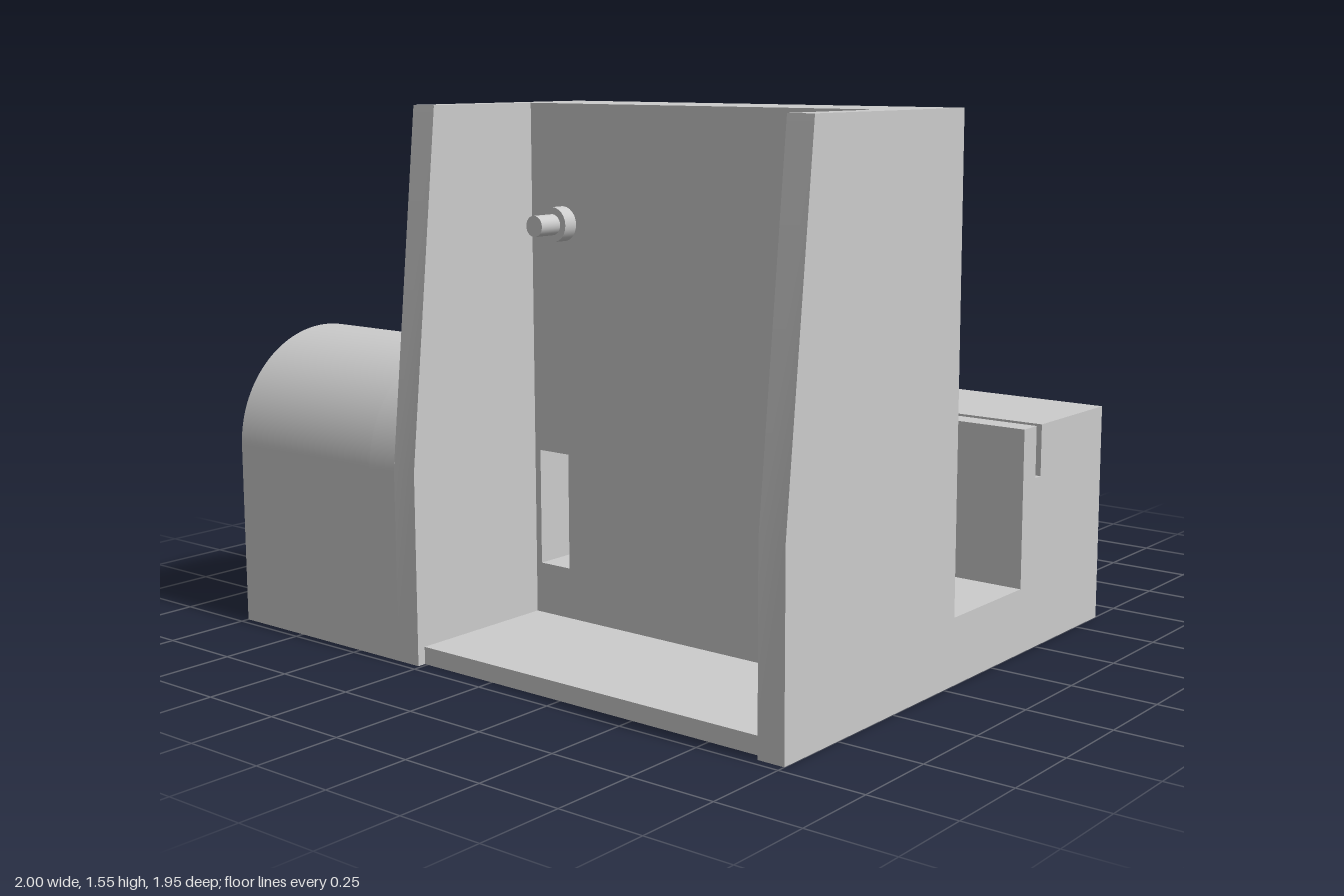
import * as THREE from 'three';
import { toCreasedNormals } from 'three/addons/utils/BufferGeometryUtils.js';

const material = new THREE.MeshStandardMaterial({ color: 0xcccccc });

export function createModel() {
  const model = new THREE.Group();

  const add = (name, geometry) => {
    const mesh = new THREE.Mesh(geometry, material);
    mesh.name = name;
    model.add(mesh);
    return mesh;
  };
  const polygon = (points) => new THREE.Shape(points.map(([x, y]) => new THREE.Vector2(x, y)));
  const rectangle = (x0, y0, x1, y1) => polygon([[x0, y0], [x1, y0], [x1, y1], [x0, y1]]);
  const extrude = (shape, depth) => toCreasedNormals(
    new THREE.ExtrudeGeometry(shape, { depth, bevelEnabled: false, curveSegments: 32 }), 0.5);
  // Shape in (x, y), swept from z0 to z1
  const alongZ = (name, shape, z0, z1) => add(name, extrude(shape, z1 - z0).translate(0, 0, z0));
  // Shape in (-z, y), swept from x0 to x1
  const alongX = (name, shape, x0, x1) =>
    add(name, extrude(shape, x1 - x0).rotateY(Math.PI / 2).translate(x0, 0, 0));

  // Tall front holder: back wall with a window, tapered cheeks and a thin floor
  const wall = rectangle(-0.26, 0, 0.92, 1.55);
  wall.holes.push(rectangle(-0.24, 0.2, -0.13, 0.54));
  alongZ('backWall', wall, 0.2, 0.49);
  const cheek = polygon([[-0.975, 0], [-0.2, 0], [-0.2, 1.55], [-0.87, 1.55], [-0.975, 0.55]]);
  alongX('rightCheek', cheek, -0.34, -0.26);
  alongX('leftCheek', cheek, 0.92, 1);
  alongZ('holderFloor', rectangle(-0.26, 0, 0.92, 0.05), 0.49, 0.95);

  // Stepped pegs on the back wall
  for (const x of [-0.14, 0.84]) {
    for (const [name, radius, z0, z1] of [['pegCollar', 0.05, 0.48, 0.535], ['pegPin', 0.03, 0.53, 0.61]]) {
      add(name, new THREE.CylinderGeometry(radius, radius, z1 - z0, 24).rotateX(Math.PI / 2))
        .position.set(x, 1.21, (z0 + z1) / 2);
    }
  }

  // Channel floor between the holder and the rear block
  alongZ('channelFloor', rectangle(-0.34, 0, 1, 0.19), -0.16, 0.2);

  // Rear block: thin panel with a small round notch, then a narrow slot, then the big notch
  const panel = polygon([[-0.34, 0], [1, 0], [1, 0.65]]);
  panel.lineTo(0.163, 0.65);
  panel.absarc(0.015, 0.65, 0.148, 0, -Math.PI, true);
  panel.lineTo(-0.34, 0.65);
  panel.holes.push(rectangle(-0.17, 0.19, 0.17, 0.25));
  alongZ('rearPanel', panel, -0.23, -0.16);

  const notchedBlock = (top) => {
    const r = 0.29, half = 0.19, centre = 0.65;
    const start = Math.asin((top - centre) / r);
    const end = -Math.acos(half / r);
    const shape = polygon([[-0.34, 0], [1, 0], [1, top]]);
    shape.lineTo(r * Math.cos(start), top);
    shape.absarc(0, centre, r, start, end, true);
    shape.lineTo(half, 0.1);
    shape.lineTo(-half, 0.1);
    shape.absarc(0, centre, r, -Math.PI - end, -Math.PI - start, true);
    shape.lineTo(-0.34, top);
    return shape;
  };
  alongZ('slotBase', notchedBlock(0.5), -0.26, -0.23);
  alongZ('rearBlock', notchedBlock(0.65), -0.63, -0.26);

  // Side housing: two bored barrels joined by ledges and a bridge over an opening
  const housing = (slotted) => {
    const centre = 0.645, axis = 0.535, r = 0.33;
    const shape = polygon([[-0.975, 0], [0.975, 0], [0.975, axis]]);
    shape.absarc(centre, axis, r, 0, Math.PI, false);
    if (slotted) for (const [u, v] of [[0.26, axis], [0.26, 0.5], [0.23, 0.5], [0.23, axis]]) shape.lineTo(u, v);
    for (const [u, v] of [[0.16, axis], [0.16, 0.36], [-0.2, 0.36], [-0.2, axis]]) shape.lineTo(u, v);
    shape.absarc(-centre, axis, r, 0, Math.PI, false);
    for (const u of [-centre, centre]) {
      shape.holes.push(new THREE.Path().absarc(u, axis, 0.285, 0, Math.PI * 2, true));
    }
    shape.holes.push(rectangle(-0.2, 0.19, 0.16, 0.29));
    return shape;
  };
  alongX('barrelHousing', housing(false), -1, -0.44);
  alongX('slottedHousing', housing(true), -0.44, -0.34);

  return model;
}
